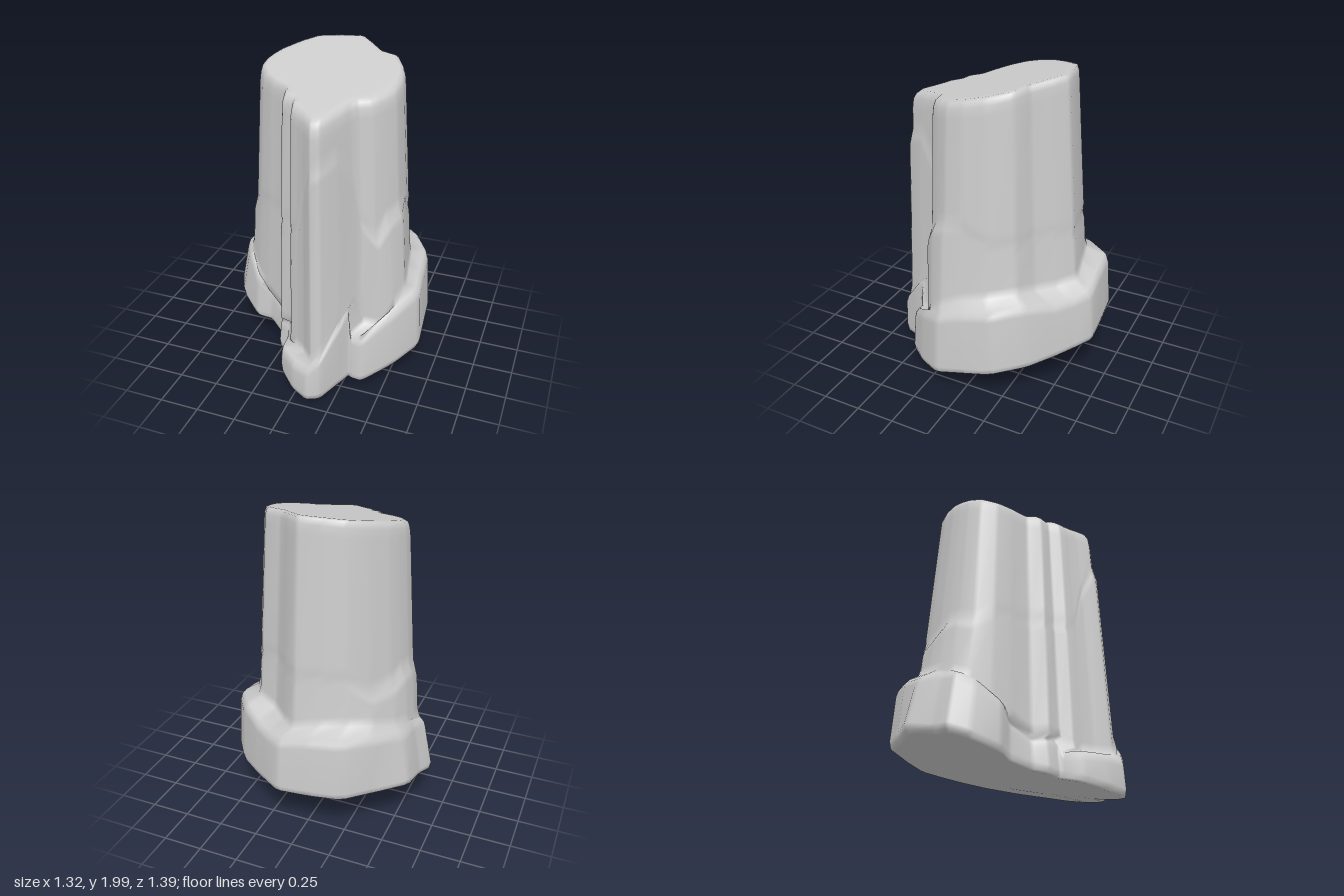
import * as THREE from 'three';

// Rock outline, clockwise from above: foot x, foot z, summit x, summit z, foot height
const OUTLINE = [
  [-0.29, -0.66, -0.22, -0.40, 0.74], [-0.08, -0.68, -0.08, -0.43, 0.72],
  [0.12, -0.695, 0.06, -0.45, 0.68], [0.24, -0.61, 0.15, -0.37, 0.66],
  [0.35, -0.53, 0.23, -0.29, 0.66], [0.50, -0.41, 0.35, -0.25, 0.70],
  [0.63, -0.22, 0.43, -0.11, 0.67], [0.645, -0.04, 0.45, 0.02, 0.63],
  [0.66, 0.14, 0.44, 0.13, 0.57], [0.535, 0.32, 0.39, 0.21, 0.48],
  [0.38, 0.48, 0.345, 0.27, 0.36], [0.31, 0.47, 0.27, 0.29, 0.36],
  [0.29, 0.46, 0.24, 0.33, 0.56], [0.25, 0.53, 0.19, 0.43, 0.48],
  [0.17, 0.67, 0.13, 0.54, 0.30], [0.09, 0.70, 0.08, 0.55, 0.22],
  [-0.02, 0.65, 0.02, 0.49, 0.22], [-0.14, 0.54, -0.03, 0.45, 0.22],
  [-0.15, 0.44, -0.08, 0.42, 0.22], [-0.15, 0.40, -0.10, 0.35, 0.30],
  [-0.22, 0.37, -0.17, 0.33, 0.30], [-0.24, 0.28, -0.19, 0.24, 0.30],
  [-0.36, 0.19, -0.30, 0.18, 0.38], [-0.46, 0.20, -0.38, 0.12, 0.46],
  [-0.61, 0.08, -0.44, 0.03, 0.58], [-0.665, -0.03, -0.44, -0.06, 0.63],
  [-0.62, -0.14, -0.42, -0.13, 0.66], [-0.61, -0.33, -0.39, -0.20, 0.67],
  [-0.44, -0.50, -0.31, -0.31, 0.72],
];

// Ledges part way up the column, by outline index: height, outward push
const LEDGES = {
  7: [1.14, 0], 8: [1.12, 0.05], 9: [1.08, 0.07], 10: [0.97, 0.06], 11: [1.1, 0],
  12: [1.4, 0.02], 13: [1.55, 0.035], 14: [1.5, 0.035], 15: [1.48, 0.03], 16: [1.3, 0],
  24: [0.96, 0.04], 25: [1.0, 0.055], 26: [1.0, 0.07], 27: [0.95, 0.07], 28: [0.93, 0.06],
};

// Cut every corner of the outline so edges come out softly rounded
function roundedOutline() {
  const rows = OUTLINE.map((r, i) => [...r, ...(LEDGES[i] ?? [1.05, 0])]);
  return rows.flatMap((a, i) => {
    const b = rows[(i + 1) % rows.length];
    return [0.13, 0.87].map((t) => a.map((v, k) => THREE.MathUtils.lerp(v, b[k], t)));
  });
}

// Vertical section through the rock at one outline point, from underside to summit
function section([bx, bz, tx, tz, foot, ledge, push]) {
  const under = (x, z) => 0.165 - 0.24 * z + 0.14 * x * x - 0.05 * x;
  const summit = (z) => 1.905 - 0.227 * z;
  const base = (s, y) => [bx * s, y, bz * s];
  const floor = (s) => base(s, under(bx * s, bz * s));
  const column = (y, s = 1) => {
    const f = THREE.MathUtils.clamp((1.85 - y) / 1.2, 0, 1.1);
    const out = s * (1 + (y < ledge ? push : 0));
    return [tx * (1 + 0.18 * f) * out, y, tz * (1 + (tz > 0 ? 0.1 : 0.23) * f) * out];
  };
  const cap = (s) => [tx * s, summit(tz * s), tz * s];
  const low = under(bx, bz);
  const rim = summit(tz);
  // The front foot stands upright, the left foot leans in
  const lean = bz > 0.5 ? 0.01 : bx < -0.55 ? 0.08 : 0.03;
  return [
    floor(0), floor(0.5), floor(0.95),
    base(0.99, low + 0.012), base(1, low + 0.05),
    base(1 - lean, foot - 0.05), base(0.985 - lean, foot - 0.015), base(0.95 - lean, foot + 0.01),
    column(foot + 0.035, 1.02), column(foot + 0.09),
    column(ledge - 0.06), column(ledge - 0.015, 0.985), column(ledge + 0.04),
    column(ledge + 0.1), column(rim - 0.1), column(rim - 0.045, 0.99),
    [tx * 0.965, rim - 0.012, tz * 0.965], cap(0.91), cap(0.8), cap(0.4), cap(0),
  ];
}

// Join neighbouring sections into one smooth closed skin
function rockGeometry() {
  const sections = roundedOutline().map(section);
  const n = sections.length;
  const m = sections[0].length;
  const index = [];
  for (let i = 0; i < n; i++) {
    for (let j = 0; j < m - 1; j++) {
      const a = i * m + j;
      const b = ((i + 1) % n) * m + j;
      if (j > 0) index.push(a, a + 1, b);
      if (j < m - 2) index.push(b, a + 1, b + 1);
    }
  }
  const geometry = new THREE.BufferGeometry();
  geometry.setAttribute('position', new THREE.Float32BufferAttribute(sections.flat(2), 3));
  geometry.setIndex(index);
  geometry.computeVertexNormals();
  return geometry;
}

export function createModel() {
  const stone = new THREE.MeshStandardMaterial({ color: 0xcccccc });
  stone.name = 'grey stone';
  const rock = new THREE.Mesh(rockGeometry(), stone);
  rock.name = 'rockPillar';
  const model = new THREE.Group();
  model.name = 'rock';
  model.add(rock);
  return model;
}
